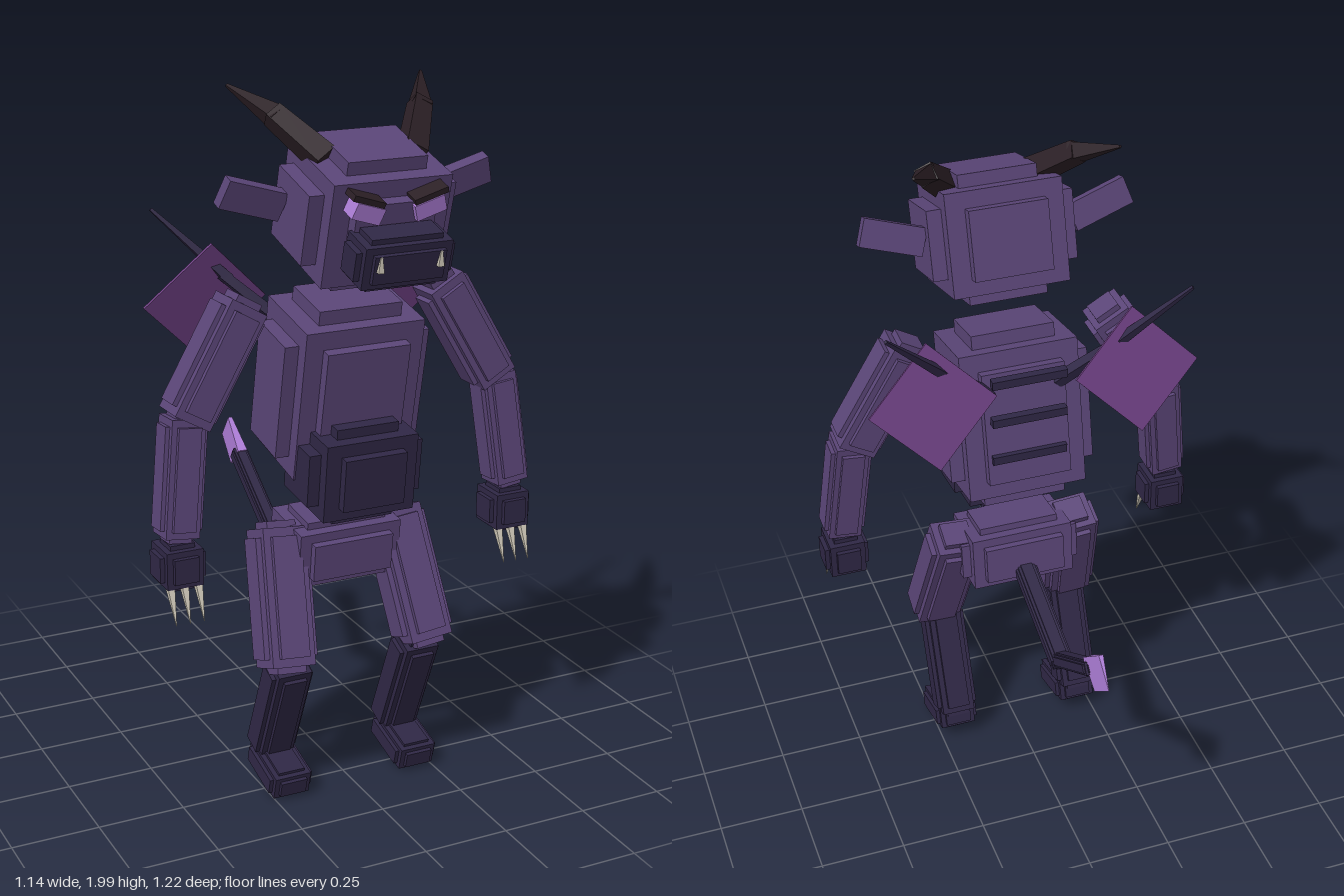
import * as THREE from 'three';

const mat = (name, color) => {
  const m = new THREE.MeshStandardMaterial({ color });
  m.name = name;
  return m;
};

export function createModel() {
  const hide = mat('purple hide', 0x5a4577);
  const dark = mat('dark hide', 0x2f2745);
  const wing = mat('wing membrane', 0x6e4083);
  wing.side = THREE.DoubleSide;
  const horn = mat('horn', 0x2b1f25);
  const glow = mat('bright violet', 0xae7ed8);
  const bone = mat('bone', 0xcfc8b8);

  const root = new THREE.Group();
  const V = (x, y, z) => new THREE.Vector3(x, y, z);

  const box = (name, material, size, pos, rot = [0, 0, 0], parent = root) => {
    const m = new THREE.Mesh(new THREE.BoxGeometry(...size), material);
    m.name = name;
    m.position.set(...pos);
    m.rotation.set(...rot);
    parent.add(m);
    return m;
  };

  // Stepped block: an inner core with a raised panel on each side
  const block = (name, material, size, pos, tilt = 0) => {
    const g = new THREE.Group();
    g.name = name;
    const min = Math.min(...size);
    const inset = (f) => size.map((s) => s - f * Math.min(s, min * 1.3));
    const core = inset(0.2), panel = inset(0.46);
    box(name + 'Core', material, core, [0, 0, 0], [0, 0, 0], g);
    for (let i = 0; i < 3; i++) {
      const s = panel.slice();
      s[i] = size[i];
      box(name + 'Panel', material, s, [0, 0, 0], [0, 0, 0], g);
    }
    g.position.set(...pos);
    g.rotation.x = tilt;
    root.add(g);
    return g;
  };

  // Turn an object so that its y axis runs from a to b
  const align = (o, a, b) => {
    o.position.copy(a).add(b).multiplyScalar(0.5);
    o.quaternion.setFromUnitVectors(V(0, 1, 0), b.clone().sub(a).normalize());
    return o;
  };
  const limb = (name, material, a, b, w, d = w) =>
    align(block(name, material, [w, a.distanceTo(b), d], [0, 0, 0]), a, b);

  // Four-sided tapering spike between two points
  const spike = (name, material, a, b, r0, r1) => {
    const geo = new THREE.CylinderGeometry(r1, r0, a.distanceTo(b), 4).toNonIndexed();
    geo.rotateY(Math.PI / 4);
    geo.computeVertexNormals();
    const m = new THREE.Mesh(geo, material);
    m.name = name;
    root.add(align(m, a, b));
  };

  // Head and trunk
  block('head', hide, [0.42, 0.365, 0.345], [0, 1.69, 0.345], 0.27);
  block('snout', dark, [0.28, 0.145, 0.13], [0, 1.605, 0.54], 0.27);
  block('torso', hide, [0.43, 0.52, 0.31], [0, 1.185, 0.21], 0.2);
  block('belly', dark, [0.34, 0.28, 0.27], [0, 0.975, 0.3], 0.12);
  block('pelvis', hide, [0.36, 0.2, 0.24], [0, 0.71, 0.19], 0.12);

  // Floating ridges along the back
  for (const y of [1.13, 1.255, 1.38]) box('backRidge', dark, [0.22, 0.025, 0.025], [0, y, 0.04]);

  for (const s of [1, -1]) {
    const P = (x, y, z) => V(s * x, y, z);

    // Face
    box('eye', glow, [0.085, 0.045, 0.05], [s * 0.088, 1.727, 0.525], [0.27, 0, s * 0.32]);
    box('brow', horn, [0.095, 0.016, 0.06], [s * 0.088, 1.76, 0.525], [0.27, 0, s * 0.32]);
    spike('fang', bone, P(0.085, 1.585, 0.605), P(0.085, 1.625, 0.612), 0.012, 0.004);
    box('ear', hide, [0.18, 0.08, 0.035], [s * 0.3, 1.735, 0.31], [0.3, 0, s * 0.31]);

    // Horns
    spike('hornBase', horn, P(0.125, 1.83, 0.375), P(0.215, 1.935, 0.25), 0.045, 0.036);
    spike('hornTip', horn, P(0.205, 1.925, 0.265), P(0.285, 1.995, 0.122), 0.036, 0.005);

    // Arms
    limb('upperArm', hide, P(0.475, 1.13, 0.235), P(0.285, 1.455, 0.225), 0.14);
    limb('forearm', hide, P(0.51, 0.82, 0.265), P(0.47, 1.17, 0.235), 0.12);
    block('hand', dark, [0.13, 0.13, 0.14], [s * 0.505, 0.755, 0.262]);
    for (const x of [0.465, 0.505, 0.545])
      spike('claw', bone, P(x, 0.705, 0.305), P(x, 0.61, 0.345), 0.014, 0.001);

    // Legs
    limb('thigh', hide, P(0.218, 0.4, 0.335), P(0.18, 0.79, 0.18), 0.16, 0.145);
    limb('shin', dark, P(0.2, 0.09, 0.175), P(0.2, 0.43, 0.32), 0.125, 0.115);
    block('foot', dark, [0.13, 0.085, 0.2], [s * 0.2, 0.067, 0.245], 0.26);

    // Wings
    box('wing', wing, [0.255, 0.255, 0.008], [s * 0.295, 1.385, -0.022])
      .rotation.set(0.29, 0, Math.PI / 4);
    spike('wingStrut', dark, P(0.1, 1.32, 0.09), P(0.26, 1.465, 0.012), 0.022, 0.018);
    spike('wingSpike', dark, P(0.24, 1.45, 0.02), P(0.43, 1.645, -0.07), 0.019, 0.006);
  }

  // Tail with a flat blade tapering to its rear corner
  limb('tailBase', dark, V(0, 0.575, -0.255), V(0, 0.7, 0.12), 0.065, 0.05);
  limb('tailEnd', dark, V(0, 0.585, -0.235), V(0, 0.76, -0.49), 0.052, 0.045);
  const blade = new THREE.Shape([[-0.45, 0.77], [-0.545, 0.85], [-0.61, 0.775], [-0.525, 0.705]]
    .map(([z, y]) => new THREE.Vector2(-z, y)));
  const geo = new THREE.ExtrudeGeometry(blade, { depth: 0.03, bevelEnabled: false });
  geo.translate(0, 0, -0.015);
  const p = geo.attributes.position;
  for (let i = 0; i < p.count; i++) p.setZ(i, p.getZ(i) * (0.61 - p.getX(i) + 0.005) / 0.16);
  geo.rotateY(Math.PI / 2);
  geo.computeVertexNormals();
  const tip = new THREE.Mesh(geo, glow);
  tip.name = 'tailBlade';
  root.add(tip);

  return root;
}
